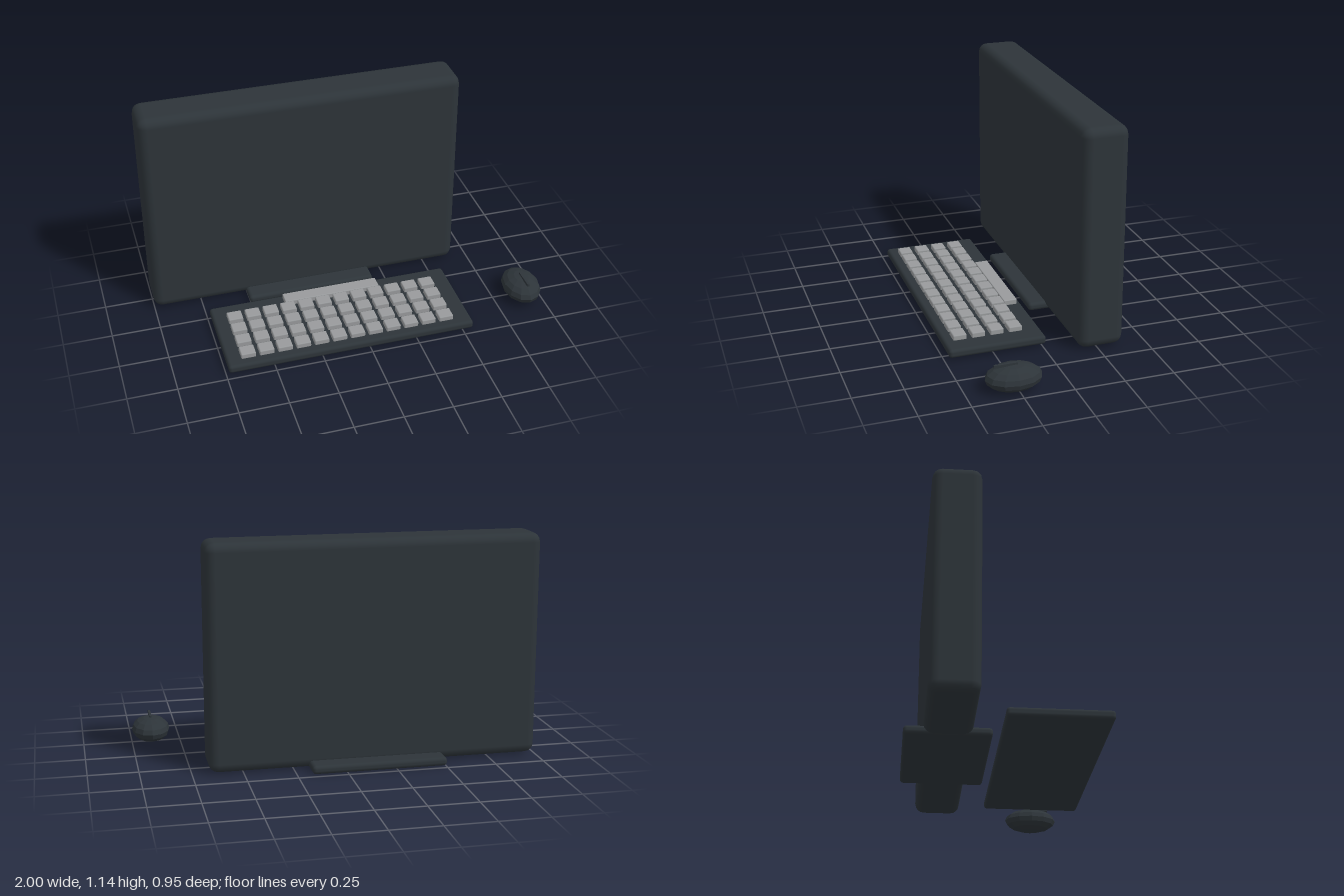
import * as THREE from 'three';
import { RoundedBoxGeometry } from 'three/addons/geometries/RoundedBoxGeometry.js';

export function createModel() {
  const model = new THREE.Group();
  model.name = 'desktopComputer';

  const charcoal = new THREE.MeshStandardMaterial({ color: 0x2d3439 });
  charcoal.name = 'charcoal';
  const mouseCharcoal = new THREE.MeshStandardMaterial({ color: 0x2d3439, flatShading: true });
  mouseCharcoal.name = 'faceted charcoal';
  const keyGrey = new THREE.MeshStandardMaterial({ color: 0x989a9c });
  keyGrey.name = 'key grey';

  function add(parent, name, geometry, material, x, y, z) {
    const mesh = new THREE.Mesh(geometry, material);
    mesh.name = name;
    mesh.position.set(x, y, z);
    parent.add(mesh);
    return mesh;
  }

  // Rounded block given by its limits on each axis
  function block(parent, name, [x0, x1], [y0, y1], [z0, z1], radius, material) {
    const geometry = new RoundedBoxGeometry(x1 - x0, y1 - y0, z1 - z0, 2, radius);
    return add(parent, name, geometry, material, (x0 + x1) / 2, (y0 + y1) / 2, (z0 + z1) / 2);
  }

  // Monitor and its foot
  const monitor = new THREE.Group();
  monitor.name = 'monitor';
  block(monitor, 'monitorBody', [-1, 0.668], [0.007, 1.14], [-0.384, -0.15], 0.047, charcoal);
  block(monitor, 'monitorFoot', [-0.507, 0.175], [0.003, 0.046], [-0.476, -0.06], 0.018, charcoal);
  model.add(monitor);

  // Keyboard
  const keyboard = new THREE.Group();
  keyboard.name = 'keyboard';
  block(keyboard, 'keyboardBase', [-0.736, 0.554], [0.011, 0.055], [-0.02, 0.475], 0.016, charcoal);
  block(keyboard, 'longKey', [-0.346, 0.166], [0.052, 0.082], [0.002, 0.073], 0.005, keyGrey);

  // Four rows of twelve keys
  const keyGeometry = new RoundedBoxGeometry(0.076, 0.03, 0.069, 1, 0.006);
  for (let row = 0; row < 4; row++) {
    for (let col = 0; col < 12; col++) {
      add(keyboard, 'key', keyGeometry, keyGrey, -0.625 + col * 0.095, 0.067, 0.108 + row * 0.0955);
    }
  }
  model.add(keyboard);

  // Mouse: a squashed, faceted ball with a thin raised strip
  const mouse = new THREE.Group();
  mouse.name = 'mouse';
  const shell = new THREE.SphereGeometry(1, 12, 8).scale(0.098, 0.063, 0.14);
  add(mouse, 'mouseShell', shell, mouseCharcoal, 0.9, 0.067, 0.268);
  add(mouse, 'mouseStrip', new THREE.BoxGeometry(0.012, 0.014, 0.114), charcoal, 0.9, 0.132, 0.307);
  model.add(mouse);

  return model;
}
